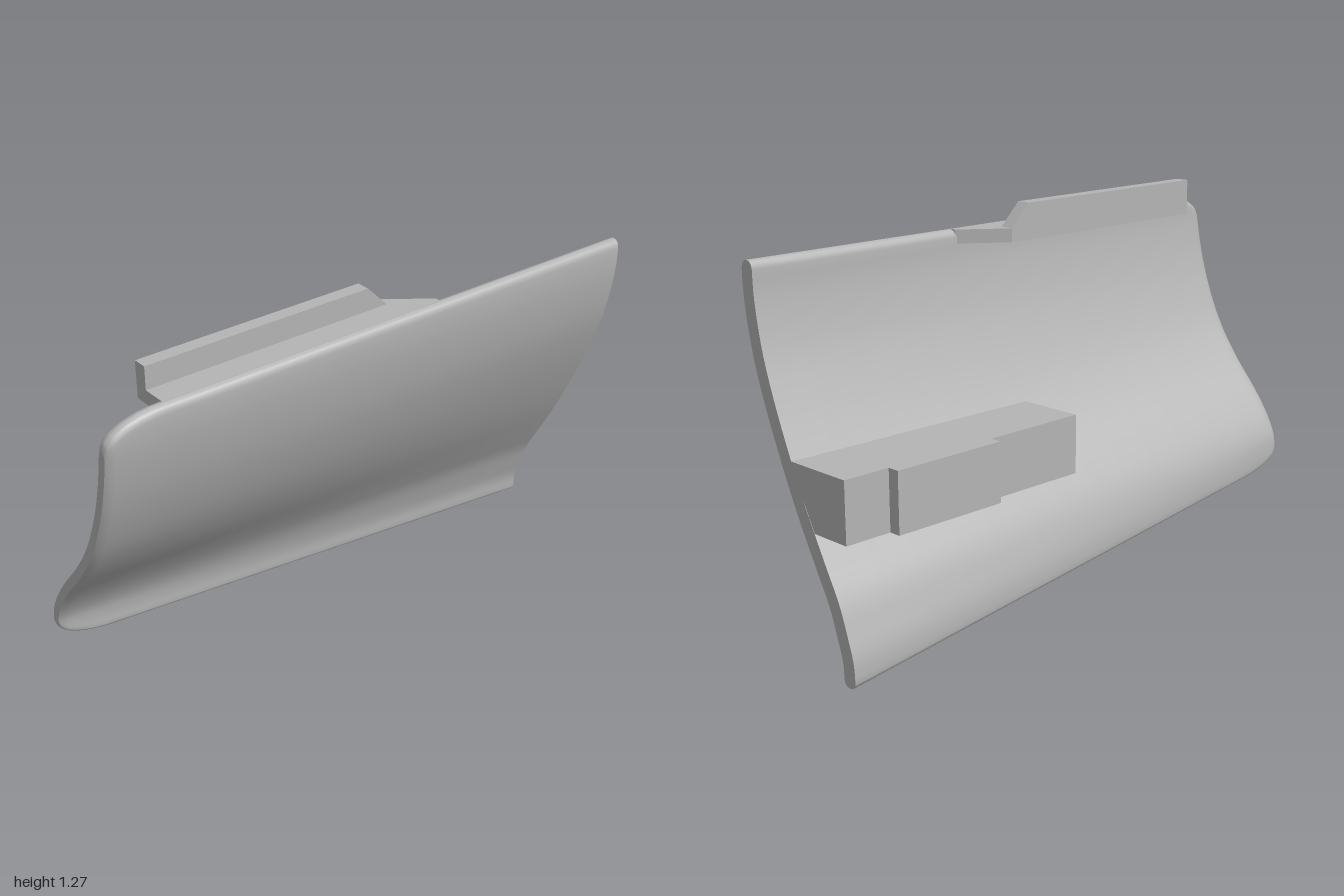
import * as THREE from 'three';

const grey = new THREE.MeshStandardMaterial({ color: 0xb4b4b4 });
grey.name = 'plain grey';

// Centreline of the curved panel at its front and back ends, bottom to top
const curve = pts => new THREE.CatmullRomCurve3(pts.map(([x, y]) => new THREE.Vector3(x, y, 0)));
const frontLine = curve([[-0.19, 0.235], [-0.19, 0.29], [-0.183, 0.34], [-0.155, 0.4], [-0.1, 0.48],
  [0, 0.6], [0.075, 0.71], [0.128, 0.82], [0.173, 0.95], [0.205, 1.1], [0.212, 1.2]]);
const backLine = curve([[-0.2, 0.003], [-0.195, 0.08], [-0.17, 0.16], [-0.14, 0.24], [-0.085, 0.34],
  [0.002, 0.5], [0.068, 0.64], [0.127, 0.78], [0.178, 0.93], [0.208, 1.09], [0.212, 1.2]]);

function panelGeometry() {
  const thickness = 0.05, round = 0.025;
  const zs = [];
  for (let i = 0; i <= 12; i++) zs.push(-1 + i * 0.15);
  zs.push(0.84, 0.88, 0.92, 0.95, 0.97, 0.98, 0.99, 0.996, 1);
  // Samples up the panel, packed tighter at the rounded edges
  const ends = [0, 0.002, 0.006, 0.013, 0.025];
  const steps = [...ends];
  for (let i = 1; i < 36; i++) steps.push(0.025 + 0.95 * i / 36);
  steps.push(...ends.map(e => 1 - e).reverse());
  const m = steps.length, ring = 2 * m;

  const pos = [], index = [];
  const centre = (v, t) => backLine.getPoint(v).lerp(frontLine.getPoint(v), t);
  for (const z of zs) {
    const t = (z + 1) / 2;
    // Rounded front corners and eased front edge
    const k = Math.max(0, (z - 0.82) / 0.18);
    const inset = 1 - Math.sqrt(Math.max(0, 1 - k * k));
    const v0 = 0.12 * inset, v1 = 1 - 0.09 * inset;
    const ease = 1 - 0.4 * Math.max(0, (z - 0.97) / 0.03) ** 2;
    const outer = [], inner = [];
    for (const s of steps) {
      const v = v0 + (v1 - v0) * s;
      const p = centre(v, t);
      const d = centre(Math.min(1, v + 0.01), t).sub(centre(Math.max(0, v - 0.01), t)).normalize();
      const e = Math.max(0, 1 - Math.min(s, 1 - s) / round);
      const h = thickness / 2 * ease * Math.sqrt(Math.max(0, 1 - e * e));
      outer.push([p.x + d.y * h, p.y - d.x * h, z]);
      inner.push([p.x - d.y * h, p.y + d.x * h, z]);
    }
    pos.push(...[...outer, ...inner.reverse()].flat());
  }
  const rows = zs.length;
  for (let i = 0; i < rows - 1; i++) {
    for (let j = 0; j < ring; j++) {
      const a = i * ring + j, b = i * ring + (j + 1) % ring;
      index.push(a, b, b + ring, a, b + ring, a + ring);
    }
  }
  // Flat end caps with their own vertices
  const cap = (row, flip) => {
    const base = pos.length / 3;
    pos.push(...pos.slice(row * ring * 3, (row + 1) * ring * 3));
    for (let j = 0; j < m - 1; j++) {
      const a = base + j, b = a + 1, d = base + ring - 1 - j, c = d - 1;
      index.push(...(flip ? [a, c, b, a, d, c] : [a, b, c, a, c, d]));
    }
  };
  cap(0, true);
  cap(rows - 1, false);

  const g = new THREE.BufferGeometry();
  g.setAttribute('position', new THREE.Float32BufferAttribute(pos, 3));
  g.setIndex(index);
  g.computeVertexNormals();
  return g;
}

const prism = (pts, depth) => new THREE.ExtrudeGeometry(
  new THREE.Shape(pts.map(([x, y]) => new THREE.Vector2(x, y))), { depth, bevelEnabled: false });

export function createModel() {
  const model = new THREE.Group();
  const add = (name, geometry, parent = model) => {
    const mesh = new THREE.Mesh(geometry, grey);
    mesh.name = name;
    parent.add(mesh);
  };

  add('curvedPanel', panelGeometry());

  // Mounting block on the inner face, with a raised pad
  const block = new THREE.Group();
  block.name = 'mountingBlock';
  model.add(block);
  add('blockBody', prism([[-0.205, 0.44], [-0.06, 0.44], [0.045, 0.635], [-0.205, 0.635]], 0.93)
    .translate(0, 0, -1), block);
  add('blockPad', new THREE.BoxGeometry(0.04, 0.195, 0.4).translate(-0.225, 0.5375, -0.64), block);

  // L-shaped clip along the top edge
  const clip = new THREE.Group();
  clip.name = 'topClip';
  model.add(clip);
  add('clipFlange', prism([[0.078, -0.8], [0.21, -0.8], [0.21, 0.22], [0.19, 0.22], [0.078, 0.075]], 0.045)
    .rotateX(-Math.PI / 2).translate(0, 1.155, 0), clip);
  add('clipLip', prism([[-0.8, 1.2], [0.075, 1.2], [0, 1.275], [-0.8, 1.275]], 0.047)
    .rotateY(Math.PI / 2).translate(0.078, 0, 0), clip);

  return model;
}
